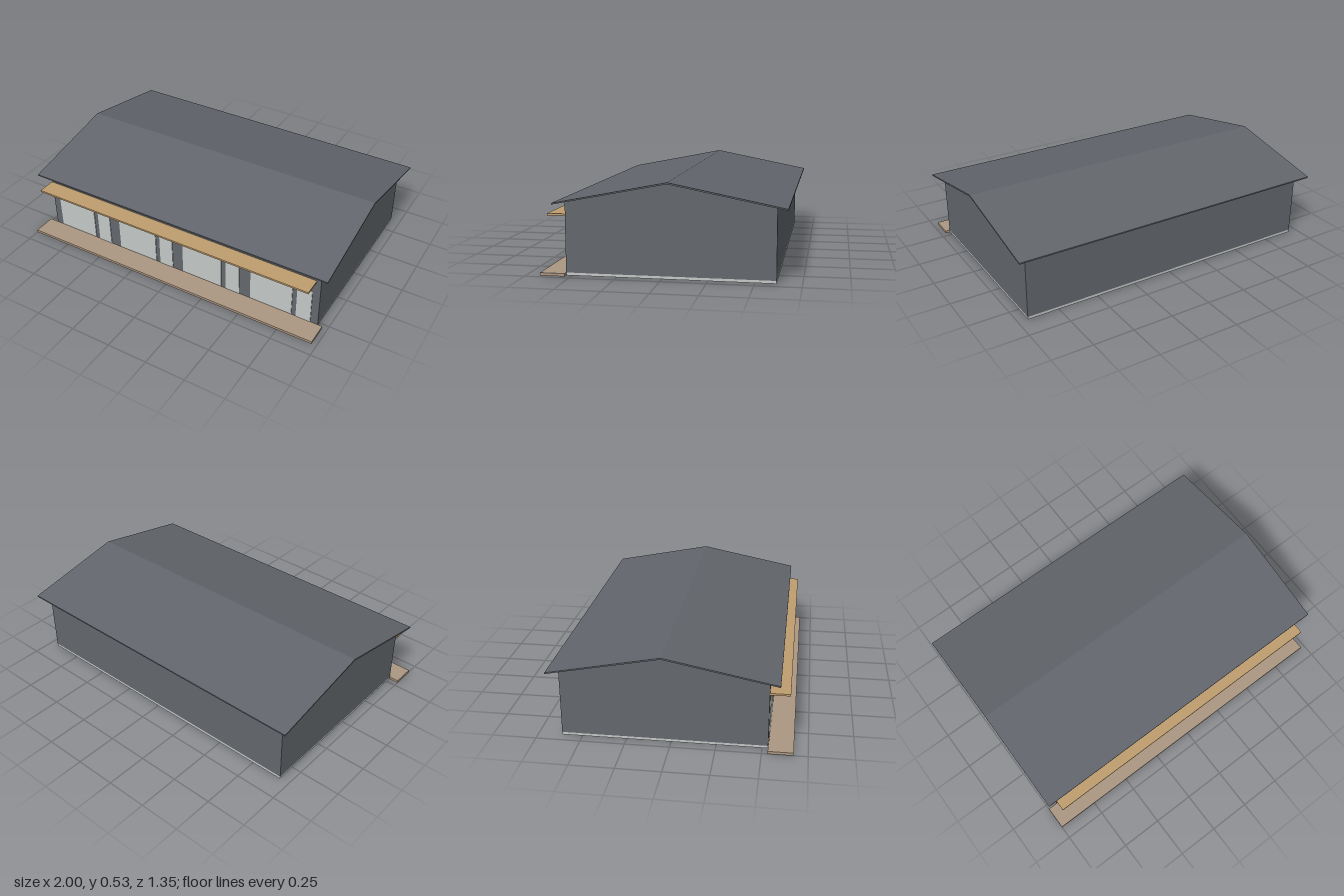
import * as THREE from 'three';

const mat = (name, color) => {
  const m = new THREE.MeshStandardMaterial({ color });
  m.name = name;
  return m;
};

export function createModel() {
  const group = new THREE.Group();
  const wallGrey = mat('wall grey', 0x64686d);
  const roofGrey = mat('roof grey', 0x62666c);
  const glass = mat('pale glass', 0xc4c8c6);
  const concrete = mat('concrete', 0xc6c8c8);
  const deckWood = mat('deck wood', 0xac9782);
  const awningWood = mat('awning wood', 0xc09f70);

  // Box given by its minimum and maximum corners
  const box = (name, material, [x0, y0, z0], [x1, y1, z1]) => {
    const mesh = new THREE.Mesh(new THREE.BoxGeometry(x1 - x0, y1 - y0, z1 - z0), material);
    mesh.position.set((x0 + x1) / 2, (y0 + y1) / 2, (z0 + z1) / 2);
    mesh.name = name;
    group.add(mesh);
  };

  // Side profile of [z, y] points, swept along x from -halfWidth to halfWidth
  const sweep = (name, material, points, halfWidth) => {
    const shape = new THREE.Shape(points.map(([z, y]) => new THREE.Vector2(-z, y)));
    const geo = new THREE.ExtrudeGeometry(shape, { depth: 2 * halfWidth, bevelEnabled: false });
    geo.rotateY(Math.PI / 2).translate(-halfWidth, 0, 0);
    const mesh = new THREE.Mesh(geo, material);
    mesh.name = name;
    group.add(mesh);
  };

  const front = 0.533, back = -0.615, ridge = -0.042, base = 0.016;

  // Foundation and gabled walls
  box('foundation', concrete, [-0.94, 0, back], [0.94, base, front]);
  sweep('walls', wallGrey,
    [[front, base], [front, 0.409], [ridge, 0.52], [back, 0.409], [back, base]], 0.942);

  // Thin gabled roof with overhanging eaves
  sweep('roof', roofGrey, [
    [0.59, 0.398], [0.59, 0.406], [ridge, 0.53], [-0.674, 0.406], [-0.674, 0.398], [ridge, 0.521],
  ], 1);

  // Deck and awning along the front
  box('deck', deckWood, [-1, 0, front], [0.97, base, 0.672]);
  box('awning', awningWood, [-0.945, 0.325, front], [0.915, 0.336, 0.643]);

  // Four units, each with a wide window and a narrow door
  for (let i = 0; i < 4; i++) {
    const x = -0.891 + i * 0.465;
    box('window', glass, [x, 0.021, front - 0.002], [x + 0.27, 0.299, front + 0.004]);
    box('door', glass, [x + 0.299, 0.018, front - 0.002], [x + 0.391, 0.25, front + 0.004]);
  }
  return group;
}
